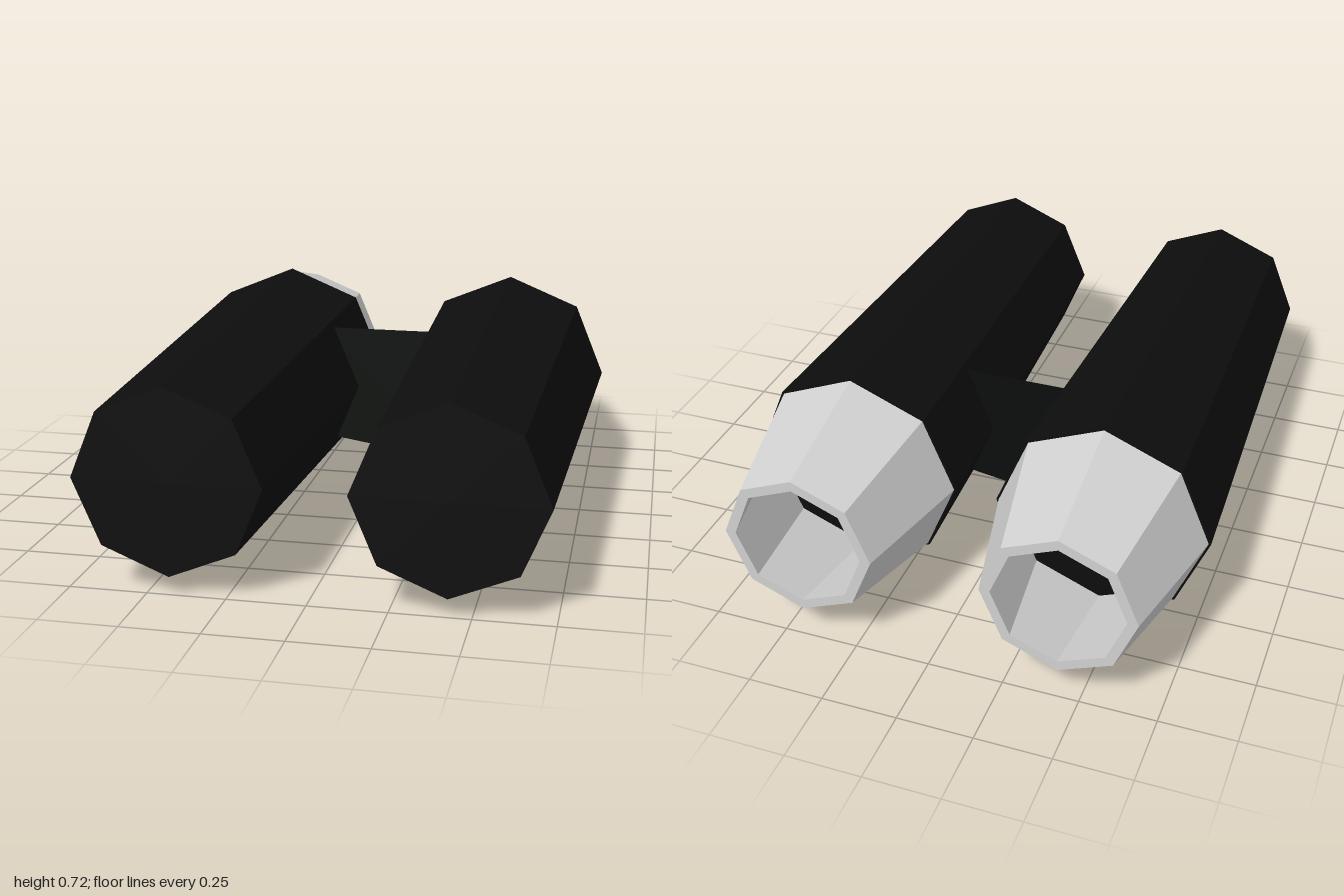
import * as THREE from 'three';

export function createModel() {
  const model = new THREE.Group();
  const black = new THREE.MeshStandardMaterial({ color: 0x0d0d0d, flatShading: true });
  black.name = 'black casing';
  const grey = new THREE.MeshStandardMaterial({ color: 0xd0d0d0, flatShading: true });
  grey.name = 'light grey nozzle';
  const dark = new THREE.MeshStandardMaterial({ color: 0x0a0e0b, side: THREE.DoubleSide });
  dark.name = 'dark bridge';

  const add = (parent, name, geometry, material) => {
    const mesh = new THREE.Mesh(geometry, material);
    mesh.name = name;
    parent.add(mesh);
    return mesh;
  };

  // Tapered eight-sided casing, closed at both ends
  const casing = new THREE.CylinderGeometry(0.3, 0.358, 1.56, 8).rotateX(Math.PI / 2);

  // Hollow nozzle: inner wall, rim, outer wall
  const profile = [[0.31, -0.56], [0.215, -1], [0.25, -1], [0.35, -0.56]];
  const nozzle = new THREE.LatheGeometry(
    profile.map(([r, y]) => new THREE.Vector2(r, y)), 8).rotateX(Math.PI / 2);

  for (const [side, name] of [[1, 'left'], [-1, 'right']]) {
    const engine = new THREE.Group();
    engine.name = name + 'Engine';
    engine.position.set(side * 0.428, 0.36, 0);
    add(engine, name + 'Casing', casing, black).position.z = 0.22;
    add(engine, name + 'Nozzle', nozzle, grey);
    model.add(engine);
  }

  // Flat crosswise web joining the casings, with a shallow V underneath
  const web = new THREE.Shape([[-0.2, 0.58], [-0.2, 0.168], [0, 0.137], [0.2, 0.168], [0.2, 0.58]]
    .map(([x, y]) => new THREE.Vector2(x, y)));
  add(model, 'bridgePlate', new THREE.ShapeGeometry(web), dark).position.z = -0.18;

  return model;
}
